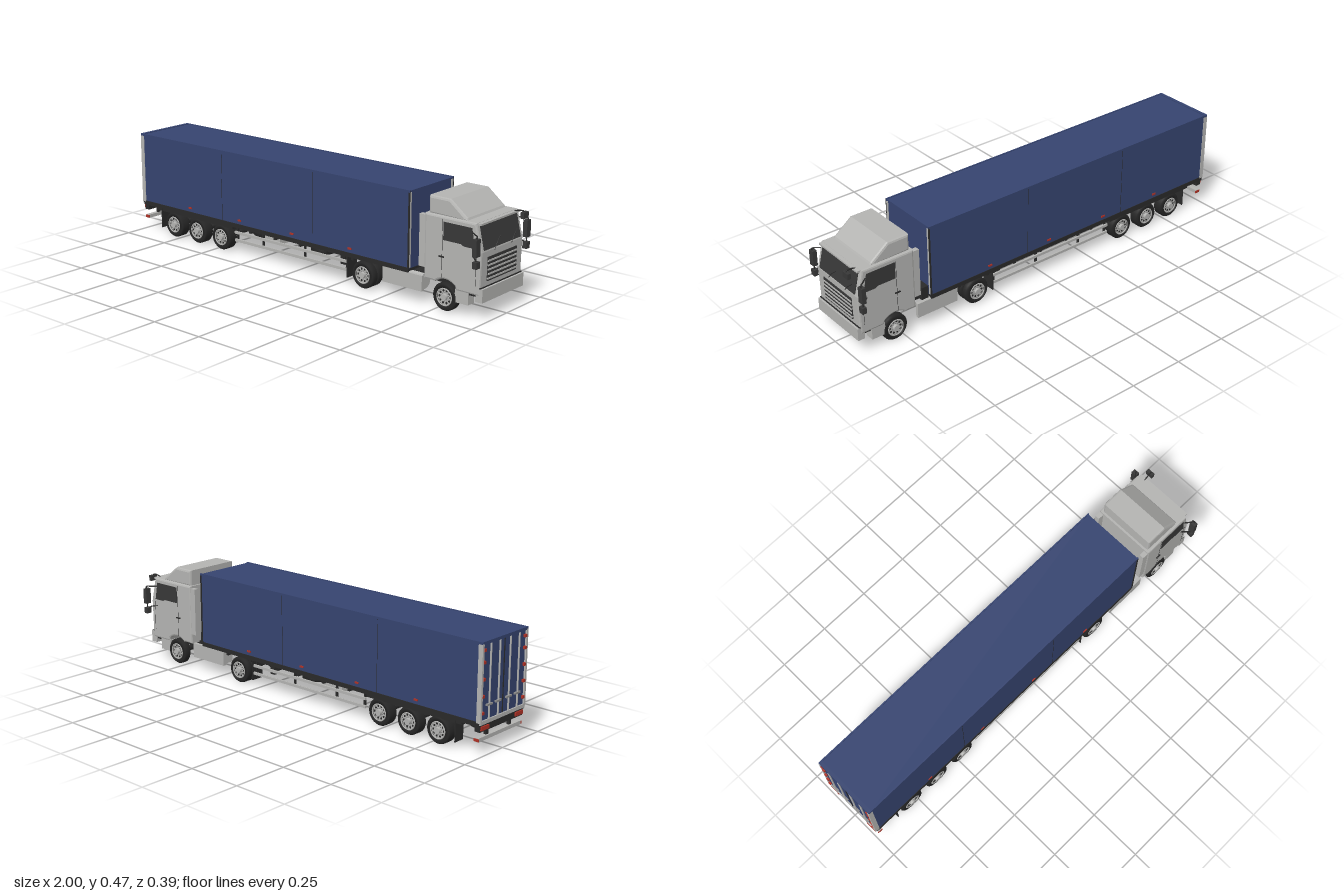
import * as THREE from 'three';

const mat = (name, color) => {
  const m = new THREE.MeshStandardMaterial({ color });
  m.name = name;
  return m;
};

export function createModel() {
  const truck = new THREE.Group();
  truck.name = 'articulatedTruck';
  const navy = mat('navy', 0x364470), gray = mat('lightGray', 0xb4b4b2), dark = mat('darkGlass', 0x383838);
  const black = mat('chassisBlack', 0x2a2a2a), rubber = mat('rubber', 0x262626), red = mat('red', 0xb03226);
  const steel = mat('steel', 0x8c8c8c);

  const add = (name, geo, m, parent = truck) => {
    const mesh = new THREE.Mesh(geo, m);
    mesh.name = name;
    parent.add(mesh);
    return mesh;
  };
  // Box given by its lower and upper limits on each axis
  const box = (name, m, x0, x1, y0, y1, z0, z1, parent = truck) => {
    const b = add(name, new THREE.BoxGeometry(x1 - x0, y1 - y0, z1 - z0), m, parent);
    b.position.set((x0 + x1) / 2, (y0 + y1) / 2, (z0 + z1) / 2);
    return b;
  };
  // The same box on both sides
  const pair = (name, m, x0, x1, y0, y1, z0, z1) => {
    box(name + 'Left', m, x0, x1, y0, y1, z0, z1);
    box(name + 'Right', m, x0, x1, y0, y1, -z1, -z0);
  };
  const tube = (name, m, pts, r = 0.003) => add(name, new THREE.TubeGeometry(
    new THREE.CatmullRomCurve3(pts.map(p => new THREE.Vector3(...p))), 16, r, 6), m);
  const cyl = (name, m, r, len, axis, x, y, z, parent = truck, seg = 24) => {
    const c = add(name, new THREE.CylinderGeometry(r, r, len, seg), m, parent);
    if (axis === 'x') c.rotation.z = Math.PI / 2;
    if (axis === 'z') c.rotation.x = Math.PI / 2;
    c.position.set(x, y, z);
    return c;
  };
  // Side profile extruded across the width, with bevelled edges
  const profile = (name, m, shape, halfWidth, bevel) => {
    const g = new THREE.ExtrudeGeometry(shape, { depth: 2 * (halfWidth - bevel), bevelEnabled: true,
      bevelThickness: bevel, bevelSize: bevel, bevelOffset: -bevel, bevelSegments: 2, curveSegments: 16 });
    g.translate(0, 0, bevel - halfWidth);
    return add(name, g, m);
  };
  const polygon = pts => new THREE.Shape(pts.map(p => new THREE.Vector2(...p)));

  // Trailer body
  box('trailerBody', navy, -0.99, 0.612, 0.14, 0.472, -0.15, 0.15);
  pair('trailerTopRail', navy, -0.995, 0.615, 0.465, 0.475, 0.147, 0.153);
  pair('trailerBottomRail', black, -0.99, 0.612, 0.125, 0.145, 0.144, 0.152);
  pair('rearCornerPost', gray, -0.997, -0.976, 0.14, 0.466, 0.142, 0.1525);
  pair('frontCornerPost', gray, 0.608, 0.6145, 0.145, 0.465, 0.138, 0.1495);
  pair('frontCornerEdge', black, 0.608, 0.6155, 0.14, 0.474, 0.1495, 0.1525);
  for (const x of [-0.46, 0.09]) pair('sideSeam', black, x - 0.001, x + 0.001, 0.145, 0.465, 0.149, 0.1505);
  for (const x of [-0.67, -0.35, -0.03, 0.3]) pair('sideMarker', red, x - 0.01, x + 0.01, 0.16, 0.168, 0.15, 0.154);

  // Rear doors with lock bars, hinges and lights
  box('rearSill', gray, -0.996, -0.98, 0.132, 0.148, -0.15, 0.15);
  box('rearHeader', navy, -0.996, -0.98, 0.462, 0.475, -0.15, 0.15);
  box('doorSeam', black, -0.993, -0.988, 0.148, 0.462, -0.002, 0.002);
  for (const z of [-0.095, -0.035, 0.035, 0.095]) {
    cyl('lockBar', gray, 0.004, 0.315, 'y', -0.995, 0.305, z, truck, 8);
    box('lockHandle', steel, -0.999, -0.99, 0.205, 0.213, z - 0.018, z + 0.018);
  }
  for (const y of [0.18, 0.25, 0.32, 0.39, 0.44]) pair('doorHinge', red, -0.999, -0.99, y - 0.006, y + 0.006, 0.13, 0.143);
  box('lightBar', black, -0.99, -0.965, 0.1, 0.13, -0.145, 0.145);
  pair('tailLight', red, -0.996, -0.988, 0.107, 0.124, 0.09, 0.142);
  box('rearBumper', gray, -0.985, -0.965, 0.058, 0.074, -0.145, 0.145);
  pair('bumperEnd', red, -0.987, -0.963, 0.06, 0.072, 0.143, 0.147);
  pair('bumperStrut', black, -0.978, -0.966, 0.07, 0.11, 0.07, 0.085);

  // Trailer chassis
  box('trailerFloor', black, -0.98, 0.61, 0.128, 0.141, -0.146, 0.146);
  pair('trailerBeam', black, -0.96, 0.6, 0.1, 0.13, 0.045, 0.06);
  pair('trailerSkirt', black, -0.9, -0.4, 0.112, 0.13, 0.125, 0.146);
  for (let x = -0.9; x < 0.6; x += 0.15) box('crossBeam', black, x, x + 0.012, 0.11, 0.13, -0.14, 0.14);

  // Side guards
  for (const y of [0.062, 0.098]) pair('sideGuardRail', gray, -0.39, 0.285, y - 0.006, y + 0.006, 0.134, 0.142);
  for (const x of [-0.38, -0.22, 0.03, 0.27]) pair('guardPost', black, x - 0.004, x + 0.004, 0.056, 0.13, 0.126, 0.135);
  box('toolBox', gray, -0.24, -0.13, 0.085, 0.125, -0.12, 0.12);
  const ring = (name, w, x, y, z, parent) => {
    const h = w / 2;
    const pts = [[0.036, -h], [0.054, -h], [0.06, 0.007 - h], [0.06, h - 0.007], [0.054, h], [0.036, h], [0.036, -h]];
    // Repeated corners keep each band of the tyre crisp
    const g = new THREE.LatheGeometry(pts.map(p => new THREE.Vector2(...p)), 32);
    const t = add(name, g, rubber, parent);
    t.position.set(x, y, z);
    return t;
  };
  ring('spareTyre', 0.036, 0.028, 0.078, 0);
  cyl('spareRim', black, 0.038, 0.02, 'y', 0.028, 0.078, 0);
  pair('rearMudflap', black, -0.873, -0.869, 0.03, 0.125, 0.095, 0.148);
  pair('driveMudflap', black, 0.282, 0.286, 0.03, 0.125, 0.085, 0.148);
  pair('landingLeg', black, 0.2, 0.225, 0.06, 0.13, 0.07, 0.09);

  // Wheels, built for the left side and turned for the right
  const wheel = (x, side, width, dual, protrude) => {
    const w = new THREE.Group();
    w.name = 'wheel';
    ring('tyre', width, 0, 0, 0, w).rotation.x = Math.PI / 2;
    if (dual) ring('innerTyre', width, 0, 0, -0.036, w).rotation.x = Math.PI / 2;
    const face = width / 2 - 0.006;
    cyl('rim', gray, 0.037, dual ? 0.06 : width - 0.012, 'z', 0, 0, dual ? face - 0.03 : 0, w, 28);
    const lip = add('rimLip', new THREE.TorusGeometry(0.036, 0.003, 6, 28), gray, w);
    lip.position.z = width / 2;
    cyl('hub', gray, 0.014, protrude, 'z', 0, 0, face + protrude / 2, w, 16);
    for (let i = 0; i < 10; i++) {
      const a = i * Math.PI / 5;
      cyl('rimHole', black, 0.0048, 0.002, 'z', 0.027 * Math.cos(a), 0.027 * Math.sin(a), face + 0.0005, w, 10);
      cyl('wheelNut', steel, 0.002, 0.005, 'z', 0.018 * Math.cos(a + 0.3), 0.018 * Math.sin(a + 0.3), face + 0.002, w, 6);
    }
    w.position.set(x, 0.06, side * (0.149 - width / 2));
    if (side < 0) w.rotation.y = Math.PI;
    truck.add(w);
  };
  for (const [x, width, dual, hub] of [[-0.785, 0.05, false, 0.014], [-0.63, 0.05, false, 0.014],
    [-0.473, 0.05, false, 0.014], [0.37, 0.034, true, 0.014], [0.795, 0.036, false, 0.014]]) {
    for (const s of [1, -1]) wheel(x, s, width, dual, hub);
    cyl('axle', black, 0.013, 0.2, 'z', x, 0.06, 0, truck, 12);
  }

  // Tractor chassis
  pair('tractorBeam', black, 0.28, 0.95, 0.085, 0.118, 0.045, 0.06);
  box('engineBlock', black, 0.72, 0.94, 0.07, 0.125, -0.06, 0.06);
  box('couplingPlate', black, 0.32, 0.46, 0.112, 0.128, -0.06, 0.06);
  box('rearDeck', black, 0.46, 0.72, 0.112, 0.124, -0.1, 0.1);
  cyl('fuelTank', gray, 0.035, 0.18, 'x', 0.57, 0.086, 0.095);
  pair('sideFairing', gray, 0.475, 0.68, 0.056, 0.124, 0.132, 0.147);
  box('batteryBox', gray, 0.49, 0.6, 0.058, 0.118, -0.133, -0.075);
  box('airCleaner', black, 0.612, 0.645, 0.12, 0.18, -0.13, -0.08);

  // Cab shell with wheel arches
  const cab = new THREE.Shape();
  cab.moveTo(0.69, 0.118);
  cab.lineTo(0.7345, 0.118);
  cab.absarc(0.795, 0.06, 0.075, 2.3, 0.85, true);
  cab.lineTo(0.85, 0.1);
  cab.lineTo(0.964, 0.1);
  cab.lineTo(0.968, 0.28);
  cab.lineTo(0.94, 0.397);
  cab.lineTo(0.69, 0.397);
  profile('cabShell', gray, cab, 0.15, 0.008);
  profile('roofDeflector', gray, polygon([[0.7, 0.392], [0.893, 0.392], [0.885, 0.405], [0.803, 0.469], [0.7, 0.469]]), 0.137, 0.01);
  pair('cabSideFairing', gray, 0.662, 0.695, 0.165, 0.387, 0.125, 0.147);
  pair('cabStep', gray, 0.845, 0.91, 0.05, 0.105, 0.105, 0.147);
  box('bumper', gray, 0.945, 0.978, 0.074, 0.131, -0.148, 0.148);
  box('bumperGap', black, 0.95, 0.969, 0.13, 0.135, -0.148, 0.148);
  box('cabUnderside', black, 0.86, 0.95, 0.092, 0.102, -0.14, 0.14);

  // Windscreen, visor and grille
  const screen = add('windscreen', new THREE.BoxGeometry(0.006, 0.106, 0.26), dark);
  screen.position.set(0.9545, 0.338, 0);
  screen.rotation.z = Math.atan2(0.028, 0.117);
  box('sunVisor', gray, 0.935, 0.957, 0.388, 0.396, -0.14, 0.14);
  box('grillePanel', dark, 0.962, 0.9705, 0.155, 0.255, -0.103, 0.103);
  for (let i = 0; i < 5; i++) box('grilleSlat', gray, 0.966, 0.973, 0.162 + i * 0.0185, 0.169 + i * 0.0185, -0.103, 0.103);
  for (const z of [-0.06, 0.06]) tube('wiper', black, [[0.971, 0.275, z], [0.968, 0.3, z - 0.02], [0.963, 0.325, z - 0.05]], 0.0015);

  // Side windows and doors
  const pane = new THREE.ExtrudeGeometry(polygon([[0.785, 0.3], [0.87, 0.3], [0.885, 0.293], [0.938, 0.293],
    [0.922, 0.376], [0.785, 0.376]]), { depth: 0.003, bevelEnabled: false });
  add('sideWindowLeft', pane, dark).position.z = 0.149;
  add('sideWindowRight', pane, dark).position.z = -0.152;
  for (const x of [0.779, 0.944]) pair('doorSeam', black, x, x + 0.0015, 0.14, x > 0.9 ? 0.29 : 0.385, 0.149, 0.1507);
  pair('doorHandle', black, 0.765, 0.79, 0.226, 0.232, 0.15, 0.154);

  // Mirrors
  for (const s of [1, -1]) {
    const z = (a, b) => s > 0 ? [a, b] : [-b, -a];
    box('mainMirror', dark, 0.955, 0.975, 0.274, 0.346, ...z(0.167, 0.195));
    box('wideMirror', dark, 0.955, 0.975, 0.225, 0.253, ...z(0.167, 0.192));
    tube('upperMirrorArm', black, [[0.925, 0.357, s * 0.148], [0.95, 0.357, s * 0.168], [0.968, 0.355, s * 0.181], [0.968, 0.34, s * 0.181]]);
    tube('lowerMirrorArm', black, [[0.925, 0.263, s * 0.148], [0.95, 0.258, s * 0.168], [0.965, 0.25, s * 0.181]]);
    tube('mirrorLink', black, [[0.965, 0.28, s * 0.181], [0.965, 0.265, s * 0.181], [0.965, 0.25, s * 0.181]], 0.002);
  }
  box('frontMirror', dark, 0.983, 0.999, 0.371, 0.397, -0.136, -0.1);
  tube('frontMirrorArm', black, [[0.94, 0.392, -0.11], [0.965, 0.4, -0.112], [0.99, 0.4, -0.115], [0.991, 0.39, -0.117]]);

  // Air and power lines between cab and trailer
  [[red, 0.03], [black, 0.045], [red, -0.04]].forEach(([m, z]) =>
    tube('airLine', m, [[0.61, 0.21, z], [0.635, 0.205, z], [0.665, 0.225, z], [0.692, 0.235, z]], 0.0025));

  return truck;
}
